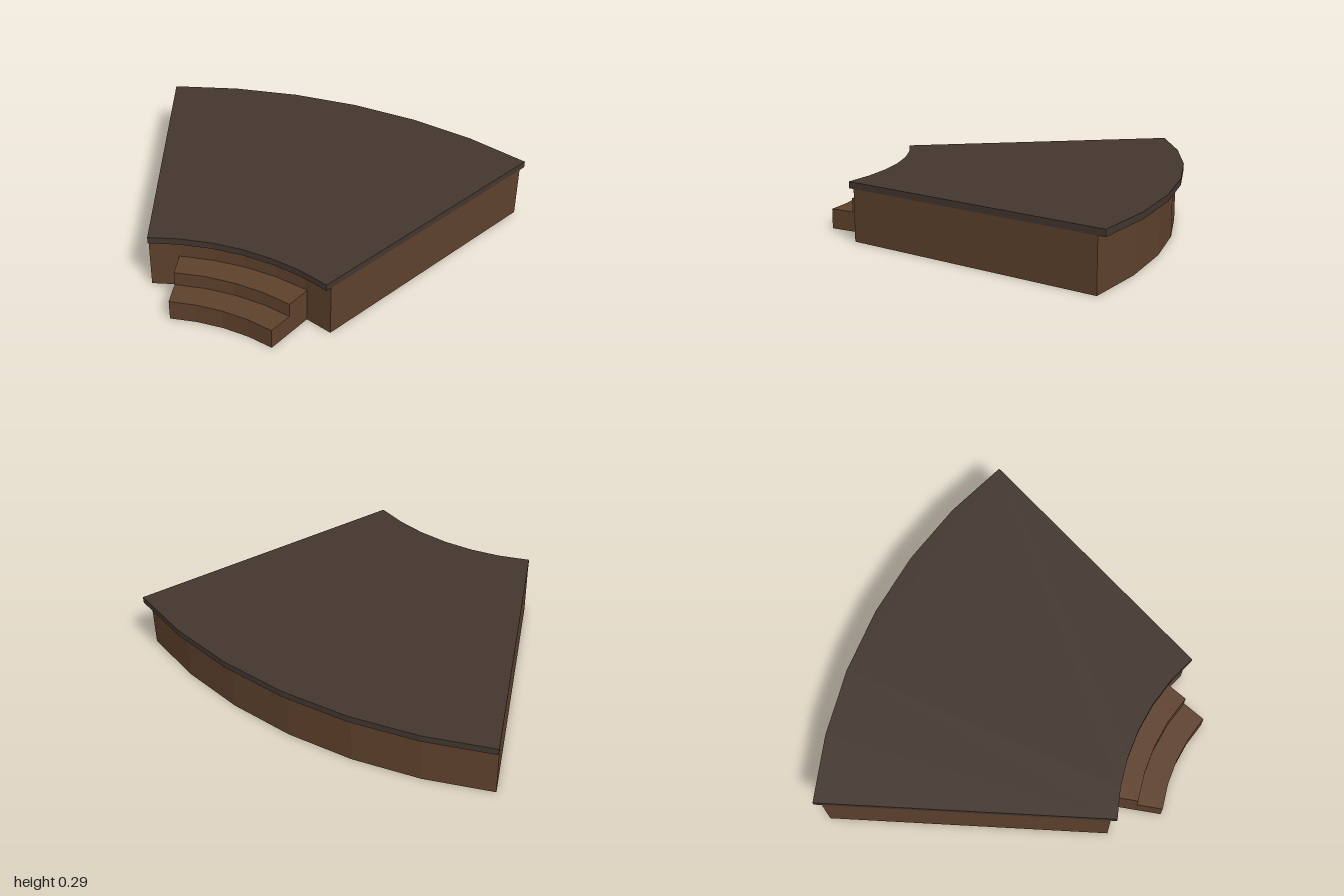
import * as THREE from 'three';

// All parts are sectors of rings around one shared axis in front of the model
const CENTER_Z = 1.759;
const HALF_ANGLE = Math.PI / 8;
const STEP_ANGLE = HALF_ANGLE * 0.7;

// Flat-sided ring sector from radius r0 to r1, between heights y0 and y1
function ringSector(name, material, r0, r1, halfAngle, segments, y0, y1) {
  const points = [];
  const addArc = (r, from, to) => {
    for (let i = 0; i <= segments; i++) {
      const a = from + ((to - from) * i) / segments;
      points.push(new THREE.Vector2(r * Math.sin(a), r * Math.cos(a)));
    }
  };
  addArc(r0, -halfAngle, halfAngle);
  addArc(r1, halfAngle, -halfAngle);
  const geometry = new THREE.ExtrudeGeometry(new THREE.Shape(points), {
    depth: y1 - y0,
    bevelEnabled: false,
  });
  geometry.rotateX(-Math.PI / 2);
  geometry.translate(0, y0, CENTER_Z);
  const mesh = new THREE.Mesh(geometry, material);
  mesh.name = name;
  return mesh;
}

export function createModel() {
  const wood = new THREE.MeshStandardMaterial({ color: 0x5e412c });
  wood.name = 'brown wood';
  const deck = new THREE.MeshStandardMaterial({ color: 0x43362f });
  deck.name = 'dark deck';

  const group = new THREE.Group();
  group.name = 'curvedPlatform';
  group.add(
    // Platform body and its overhanging floor
    ringSector('platformBody', wood, 1.202, 2.574, HALF_ANGLE, 6, 0, 0.26),
    ringSector('platformFloor', deck, 1.172, 2.613, HALF_ANGLE, 6, 0.26, 0.293),
    // Curved steps against the inner wall
    ringSector('lowerStep', wood, 0.948, 1.204, STEP_ANGLE, 4, 0, 0.1),
    ringSector('upperStep', wood, 1.074, 1.204, STEP_ANGLE, 4, 0.1, 0.17),
  );
  return group;
}
